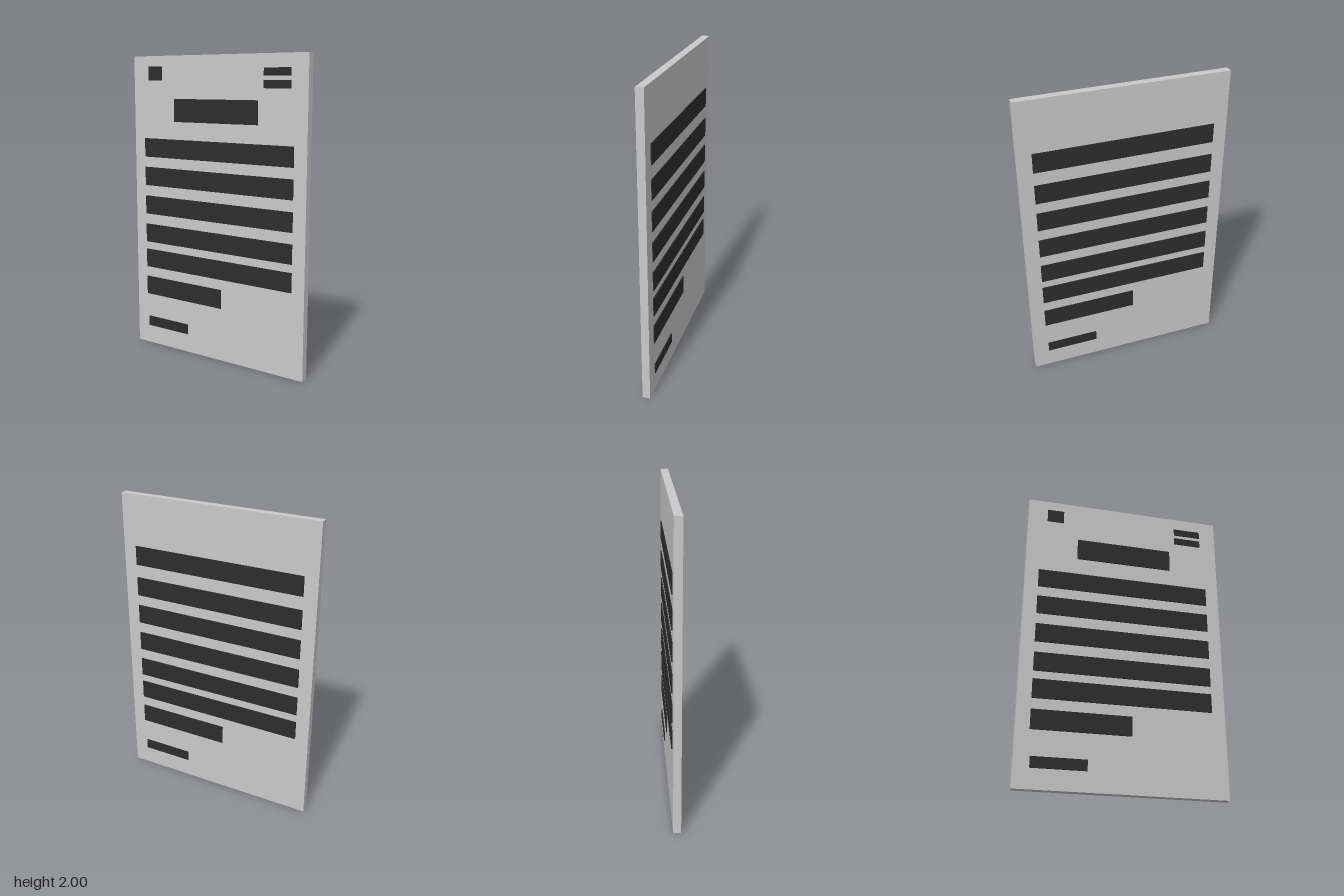
import * as THREE from 'three';

const WIDTH = 1.33, HEIGHT = 2, DEPTH = 0.05, PRINT = 0.006;

export function createModel() {
  const paper = new THREE.MeshStandardMaterial({ color: 0xcacaca });
  paper.name = 'paperGrey';
  const ink = new THREE.MeshStandardMaterial({ color: 0x2d2d2d });
  ink.name = 'inkBlack';

  const model = new THREE.Group();
  model.name = 'document';

  // Sheet
  const sheet = new THREE.Mesh(new THREE.BoxGeometry(WIDTH, HEIGHT, DEPTH), paper);
  sheet.name = 'sheet';
  sheet.position.y = HEIGHT / 2;
  model.add(sheet);

  // A thin printed bar spanning x0..x1 and y0..y1 on the +z face of a side
  function addBar(side, name, x0, x1, y0, y1) {
    const bar = new THREE.Mesh(new THREE.BoxGeometry(x1 - x0, y1 - y0, PRINT), ink);
    bar.name = name;
    bar.position.set((x0 + x1) / 2, (y0 + y1) / 2, DEPTH / 2 + PRINT / 2);
    side.add(bar);
  }

  // Body lines, last short line and footer, shared by both sides
  function addSide(name) {
    const side = new THREE.Group();
    side.name = name;
    [1.392, 1.196, 0.997, 0.799, 0.62].forEach((y, i) =>
      addBar(side, `textLine${i + 1}`, -0.577, 0.577, y - 0.063, y + 0.063));
    addBar(side, 'shortLine', -0.577, 0.052, 0.36, 0.487);
    addBar(side, 'footer', -0.567, -0.223, 0.127, 0.196);
    model.add(side);
    return side;
  }

  // Front: page mark, two date lines and heading
  const front = addSide('frontPrint');
  addBar(front, 'pageMark', -0.536, -0.425, 1.842, 1.932);
  addBar(front, 'dateLineUpper', 0.364, 0.55, 1.868, 1.916);
  addBar(front, 'dateLineLower', 0.364, 0.55, 1.794, 1.842);
  addBar(front, 'heading', -0.323, 0.323, 1.572, 1.722);

  // Back: one extra full line, turned to face backwards
  const back = addSide('backPrint');
  addBar(back, 'topLine', -0.577, 0.577, 1.541, 1.667);
  back.rotation.y = Math.PI;

  return model;
}
